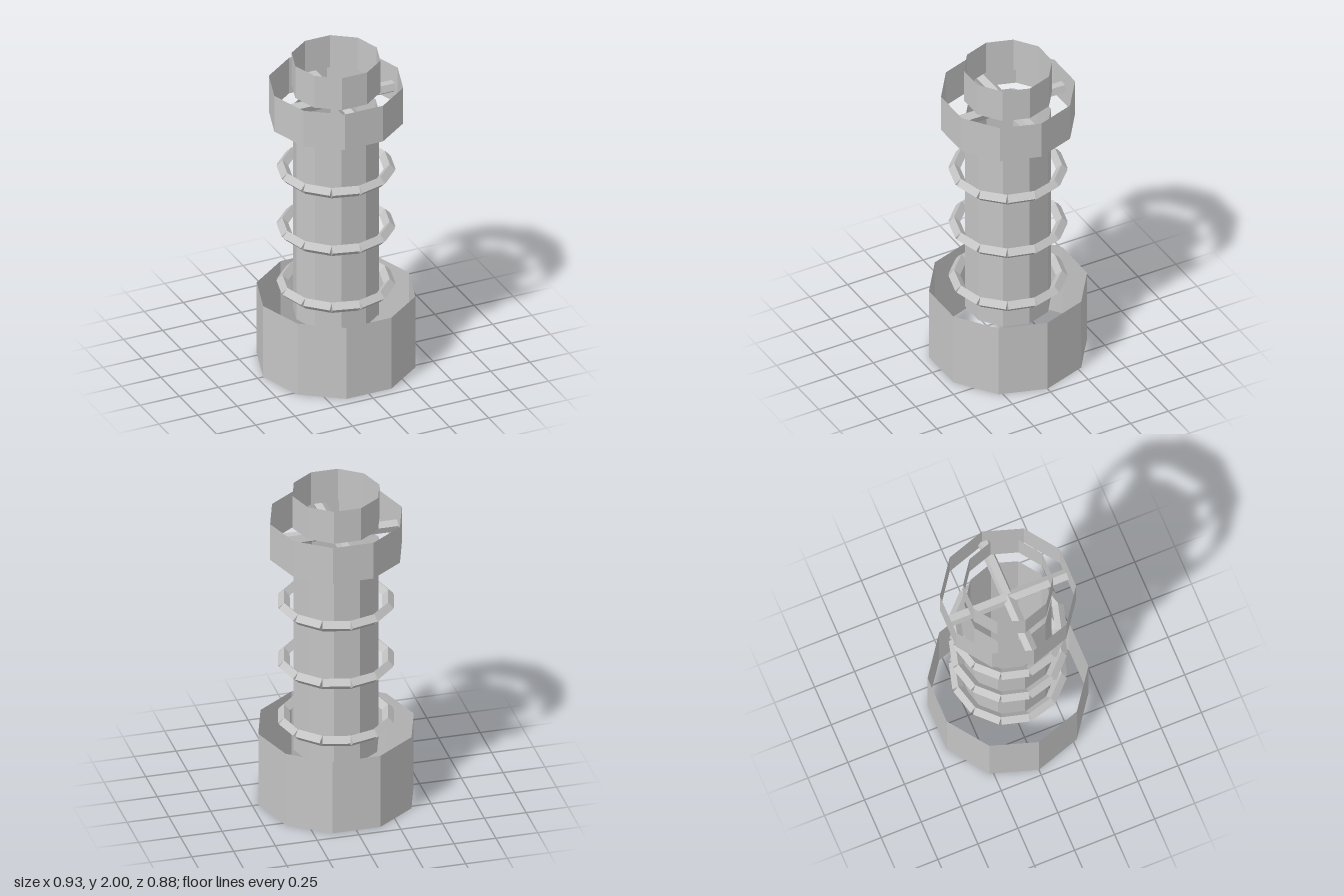
import * as THREE from 'three';

export function createModel() {
  const model = new THREE.Group();
  const grey = new THREE.MeshStandardMaterial({ color: 0xc4c4c4, flatShading: true, side: THREE.DoubleSide });
  grey.name = 'lightGrey';

  // Open ten-sided sleeve with corners on the x axis
  function sleeve(name, radius, bottom, top) {
    const geo = new THREE.CylinderGeometry(radius, radius, top - bottom, 10, 1, true, Math.PI / 2);
    const mesh = new THREE.Mesh(geo, grey);
    mesh.name = name;
    mesh.position.y = (bottom + top) / 2;
    model.add(mesh);
  }

  // Straight rod between two points; turn rolls its cross-section
  function rod(name, a, b, radius, sides, turn, parent) {
    const dir = b.clone().sub(a);
    const geo = new THREE.CylinderGeometry(radius, radius, dir.length(), sides, 1, false, turn);
    geo.rotateX(Math.PI / 2);
    const mesh = new THREE.Mesh(geo, grey);
    mesh.name = name;
    mesh.position.copy(a).add(b).multiplyScalar(0.5);
    mesh.lookAt(b);
    parent.add(mesh);
  }

  const polar = (r, angle) => new THREE.Vector3(r * Math.cos(angle), 0, r * Math.sin(angle));

  sleeve('baseSleeve', 0.465, 0, 0.467);
  sleeve('column', 0.253, 0.33, 1.66);
  sleeve('collar', 0.394, 1.6, 1.835);
  sleeve('topSleeve', 0.26, 1.79, 2);

  // Hoops of twelve diamond-section rods around the column
  for (const y of [0.517, 0.892, 1.272]) {
    const hoop = new THREE.Group();
    hoop.name = 'hoop';
    for (let i = 0; i < 12; i++) {
      rod('hoopSegment', polar(0.311, i * Math.PI / 6), polar(0.311, (i + 1) * Math.PI / 6), 0.034, 4, 0, hoop);
    }
    hoop.position.y = y;
    model.add(hoop);
  }

  // Four spokes inside the collar
  const spokes = new THREE.Group();
  spokes.name = 'spokes';
  for (let i = 0; i < 4; i++) {
    const turn = i === 0 || i === 3 ? 0 : Math.PI;
    rod('spoke', new THREE.Vector3(), polar(0.365, i * Math.PI / 2), 0.037, 5, turn, spokes);
  }
  spokes.position.y = 1.72;
  model.add(spokes);

  return model;
}
